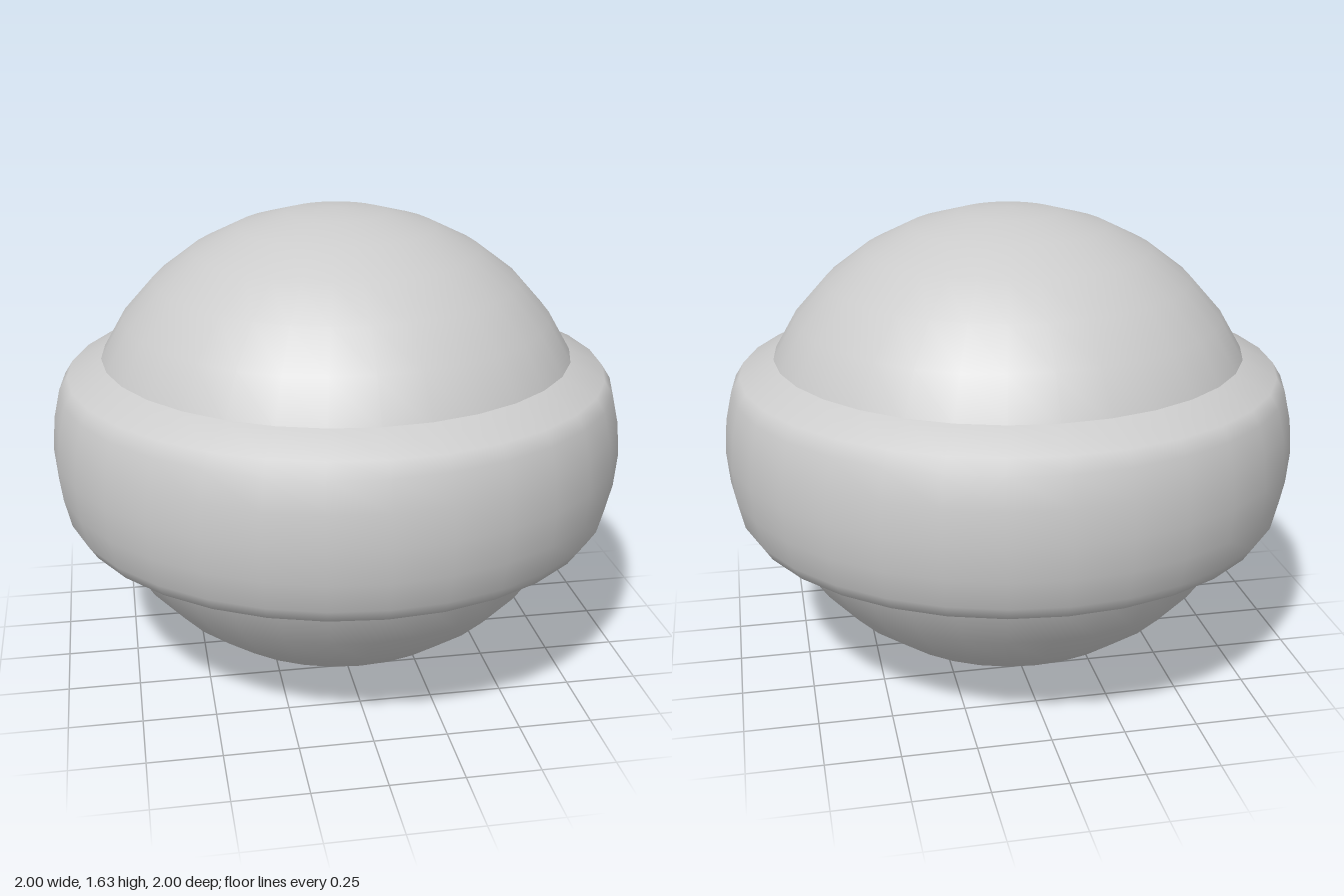
import * as THREE from 'three';

export function createModel() {
  const group = new THREE.Group();
  const material = new THREE.MeshStandardMaterial({ color: 0xcccccc });
  const segments = 32, middle = 0.82;

  const add = (name, geometry) => {
    const mesh = new THREE.Mesh(geometry, material);
    mesh.name = name;
    mesh.position.y = middle;
    group.add(mesh);
  };

  // Slightly flattened ball
  add('body', new THREE.SphereGeometry(1, segments, 16).scale(0.89, 0.817, 0.89));

  // Raised belt with rounded shoulders, mirrored about the middle height
  const upper = [[0.99, 0.115], [0.967, 0.215], [0.937, 0.262], [0.818, 0.32]];
  const profile = [
    ...upper.map(([r, y]) => new THREE.Vector2(r, -y)).reverse(),
    new THREE.Vector2(1, 0),
    ...upper.map(([r, y]) => new THREE.Vector2(r, y)),
  ];
  add('belt', new THREE.LatheGeometry(profile, segments));

  return group;
}
